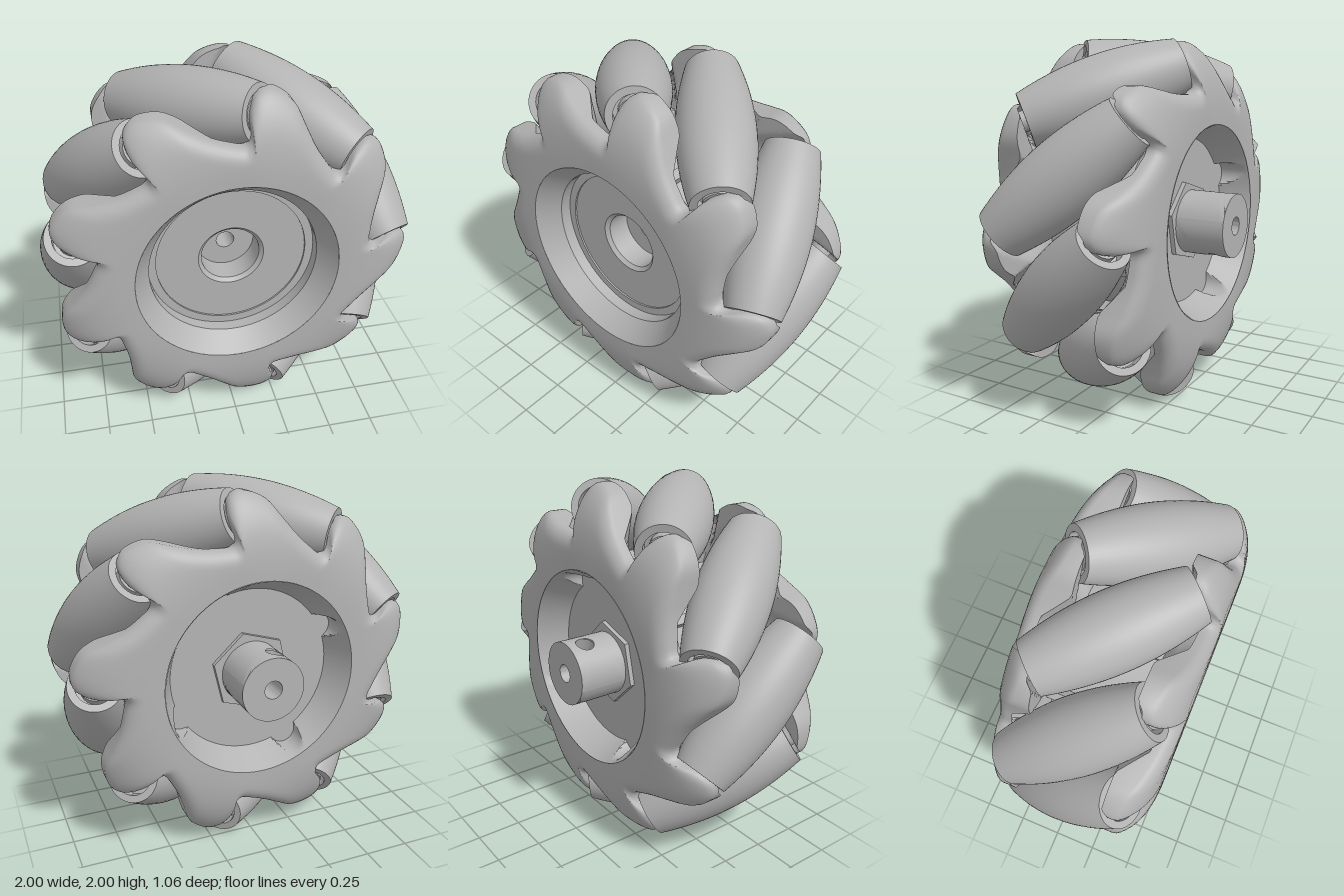
import * as THREE from 'three';
import { toCreasedNormals } from 'three/addons/utils/BufferGeometryUtils.js';

const RAD = Math.PI / 180, COUNT = 9, STEP = 40, ROLLER_ANGLE = 23, MID_Z = 0.067;
const clamp = THREE.MathUtils.clamp, smooth = THREE.MathUtils.smoothstep;

const grey = new THREE.MeshStandardMaterial({ color: 0xb3b3b3, side: THREE.DoubleSide });
grey.name = 'grey';

function part(name, geometry, crease = 0.6) {
  const mesh = new THREE.Mesh(toCreasedNormals(geometry, crease), grey);
  mesh.name = name;
  return mesh;
}

// Surface through rows of points; each row may be closed
function loft(rows, closed) {
  const n = rows[0].length, position = [], index = [];
  rows.forEach(row => row.forEach(p => position.push(...p)));
  for (let j = 0; j < rows.length - 1; j++) {
    for (let i = 0; i < (closed ? n : n - 1); i++) {
      const k = (i + 1) % n, a = j * n + i, b = j * n + k, c = a + n, d = b + n;
      index.push(a, c, b, b, c, d);
    }
  }
  const g = new THREE.BufferGeometry();
  g.setAttribute('position', new THREE.Float32BufferAttribute(position, 3));
  g.setIndex(index);
  g.computeVertexNormals();
  return g;
}

// Lathe about the z axis from [radius, z] pairs
function turned(points, segments = 96) {
  return new THREE.LatheGeometry(points.map(([r, z]) => new THREE.Vector2(r, z)), segments).rotateX(Math.PI / 2)
    .scale(1, 1, 1);
}

// Star-shaped side plate with nine swept, domed lobes
function plateGeometry() {
  const lobe = [[-7.5, 0.73], [-5.4, 0.77], [-6, 0.87], [-4, 0.95], [-1, 0.978],
    [3, 0.97], [8, 0.935], [13, 0.86], [19, 0.79], [26, 0.745]];
  const pts = [];
  for (let s = 0; s < COUNT; s++) {
    for (const [phi, r] of lobe) {
      const a = (80 - s * STEP - phi) * RAD;
      pts.push(new THREE.Vector3(r * Math.cos(a), r * Math.sin(a), 0));
    }
  }
  const curve = new THREE.CatmullRomCurve3(pts, true, 'centripetal');
  const per = 40, total = COUNT * per;
  const outline = Array.from({ length: total }, (_, i) => curve.getPoint(i / total));

  const frontZ = (r, u) => {
    const v = clamp((u - 0.6) / 0.4, 0, 1);
    return 0.53 - 0.11 * Math.max(0, (r - 0.6) / 0.38) ** 2 - 0.055 * (1 - Math.sqrt(1 - v * v));
  };
  // Inner side clears the end of its own roller and the body of the next one
  const backZ = (r, phi, top) => {
    const end = 0.705 - r * Math.sin((phi + 23) * RAD);
    const body = 0.37 + r * Math.sin((phi - 17) * RAD);
    const z = clamp(Math.max(end, body), 0.3, Math.max(0.3, top - 0.03));
    return THREE.MathUtils.lerp(0.3, z, smooth(r, 0.56, 0.7));
  };
  const row = (u, back) => outline.map((p, i) => {
    const a = (87.5 - i) * RAD;
    const x = THREE.MathUtils.lerp(0.54 * Math.cos(a), p.x, u);
    const y = THREE.MathUtils.lerp(0.54 * Math.sin(a), p.y, u);
    const r = Math.hypot(x, y), top = frontZ(r, u);
    if (!back) return [x, y, top];
    const centre = 80 - Math.floor(i / per) * STEP;
    let phi = centre - Math.atan2(y, x) / RAD;
    phi -= 360 * Math.round((phi - 12) / 360);
    return [x, y, backZ(r, phi, top)];
  });
  const us = [0, 0.2, 0.4, 0.55, 0.65, 0.75, 0.83, 0.9, 0.95, 0.985, 1];
  return loft([...us.map(u => row(u, false)), ...us.slice().reverse().map(u => row(u, true))], true);
}

// Barrel roller whose outside follows the wheel's rolling circle
function rollerGeometry() {
  const half = 0.43, pts = [[0.05, -0.36], [0.105, -0.36], [0.105, -half]];
  for (let i = 0; i <= 20; i++) {
    const s = -half + (2 * half * i) / 20;
    pts.push([1 - Math.sqrt(0.64 + (s * s) / 2), s]);
  }
  pts.push([0.105, half], [0.105, 0.36], [0.05, 0.36]);
  return new THREE.LatheGeometry(pts.map(p => new THREE.Vector2(...p)), 48);
}

// Rear funnel with four rounded screw pockets cut into its slope
function rearFunnelGeometry() {
  const rows = [];
  for (let j = 0; j <= 8; j++) {
    const base = 0.54 - 0.01 * j, z = -0.4 + 0.02125 * j, row = [];
    for (let i = 0; i < 360; i++) {
      const d = ((((i - 63) % 90) + 135) % 90 - 45) * RAD, c = 0.455, rho = 0.075;
      const q = rho * rho - (c * Math.sin(d)) ** 2;
      const r = q > 0 ? Math.max(base, c * Math.cos(d) + Math.sqrt(q)) : base;
      row.push([r * Math.cos(i * RAD), r * Math.sin(i * RAD), z]);
    }
    rows.push(row);
  }
  return loft(rows, true);
}

// Half of the shaft wall, pierced by a round cross hole
function shaftHalfGeometry() {
  const R = 0.175, hole = 0.05, w = R * Math.PI / 2, rows = [];
  for (let j = 0; j <= 10; j++) {
    const row = [];
    for (let k = 0; k < 72; k++) {
      const dx = Math.cos(k * 5 * RAD), dz = Math.sin(k * 5 * RAD);
      const edge = Math.min(w / Math.abs(dx), (dz > 0 ? 0.1926 : 0.1) / Math.max(Math.abs(dz), 1e-6));
      const t = hole + (edge - hole) * j / 10, a = t * dx / R;
      row.push([R * Math.cos(a), R * Math.sin(a), -0.43 + t * dz]);
    }
    rows.push(row);
  }
  return loft(rows, true);
}

export function createModel() {
  const model = new THREE.Group();
  model.name = 'omnidirectionalWheel';
  const wheel = new THREE.Group();
  wheel.name = 'wheel';
  wheel.position.y = 1;
  model.add(wheel);

  // Side plates, the rear one turned half round about a roller's radius
  const plate = plateGeometry();
  const frontPlate = part('frontPlate', plate, 0.7);
  const rearPlate = part('rearPlate', plate, 0.7);
  rearPlate.rotation.set(Math.PI, 0, -2 * ROLLER_ANGLE * RAD);
  rearPlate.position.z = 2 * MID_Z;
  wheel.add(frontPlate, rearPlate);

  // Hub: front funnel and face, drum, rear funnel and floor
  const flip = pts => pts.map(([r, z]) => [r, -z]);
  const lathe = (name, pts) => {
    const mesh = part(name, turned(flip(pts)).rotateY(Math.PI));
    wheel.add(mesh);
    return mesh;
  };
  lathe('frontFunnel', [[0.54, 0.53], [0.455, 0.41], [0.455, 0.345], [0.41, 0.345], [0.41, 0.335],
    [0.18, 0.335], [0.16, 0.315], [0.16, 0.18], [0.05, 0.18]]);
  lathe('drum', [[0.535, -0.2], [0.535, 0.33]]);
  lathe('rearFloor', [[0.05, -0.23], [0.545, -0.23]]);
  lathe('axleBore', [[0.05, 0.18], [0.05, -0.53]]);
  lathe('shaftEnd', [[0.05, -0.53], [0.175, -0.53]]);
  wheel.add(part('rearFunnel', rearFunnelGeometry()));

  // Hexagonal flange with an open middle for the bore
  const hex = new THREE.Shape();
  for (let i = 0; i < 6; i++) {
    const a = (i * 60 + 17) * RAD;
    hex[i ? 'lineTo' : 'moveTo'](0.23 * Math.cos(a), 0.23 * Math.sin(a));
  }
  hex.holes.push(new THREE.Path().absarc(0, 0, 0.06, 0, Math.PI * 2, true));
  const flange = part('hexFlange', new THREE.ExtrudeGeometry(hex, { depth: 0.03, bevelEnabled: false }), 0.3);
  flange.position.z = -0.255;
  wheel.add(flange);

  // Shaft halves with the cross hole lining
  for (const angle of [107, 287]) {
    const half = new THREE.Group();
    half.name = 'shaftHalf';
    half.rotation.z = angle * RAD;
    const lining = new THREE.CylinderGeometry(0.05, 0.05, 0.118, 32, 1, true).rotateZ(Math.PI / 2);
    lining.translate(0.109, 0, -0.43);
    half.add(part('shaftWall', shaftHalfGeometry()), part('crossHole', lining));
    wheel.add(half);
  }

  // Nine rollers, slanted at 45 degrees, with pins, collars and hub ribs
  const rollerGeo = rollerGeometry();
  const pinGeo = new THREE.CylinderGeometry(0.055, 0.055, 0.96, 24);
  const collarGeo = new THREE.CylinderGeometry(0.083, 0.083, 0.84, 24);
  const ribGeo = new THREE.BoxGeometry(0.08, 0.05, 0.5);
  for (let i = 0; i < COUNT; i++) {
    const station = new THREE.Group();
    station.name = 'rollerStation';
    station.rotation.z = (ROLLER_ANGLE + i * STEP) * RAD;
    station.position.z = MID_Z;
    const axle = new THREE.Group();
    axle.name = 'rollerAxle';
    axle.position.x = 0.8;
    axle.rotation.x = 135 * RAD;
    axle.add(part('roller', rollerGeo), part('pin', pinGeo), part('collar', collarGeo));
    const rib = part('hubRib', ribGeo, 0.3);
    rib.position.x = 0.55;
    station.add(axle, rib);
    wheel.add(station);
  }
  return model;
}
